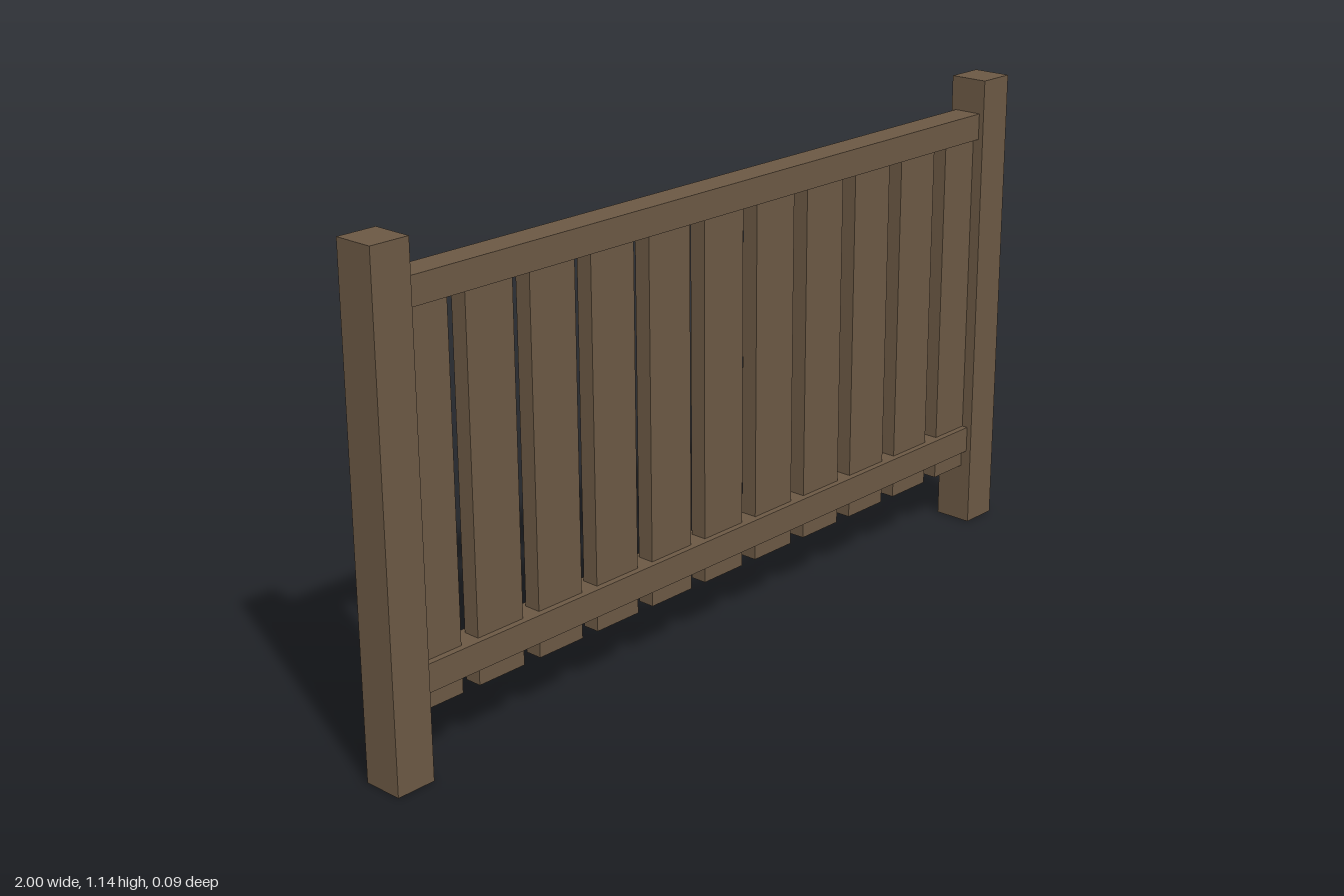
import * as THREE from 'three';

export function createModel() {
  const group = new THREE.Group();
  const wood = new THREE.MeshStandardMaterial({ color: 0x6b5844, flatShading: true });

  // Box placed by its centre x and its bottom and top heights
  function board(name, x, bottom, top, width, depth) {
    const mesh = new THREE.Mesh(new THREE.BoxGeometry(width, top - bottom, depth), wood);
    mesh.name = name;
    mesh.position.set(x, (bottom + top) / 2, 0);
    group.add(mesh);
  }

  // End posts
  const postWidth = 0.095;
  const postX = 1 - postWidth / 2;
  board('leftPost', postX, 0, 1.144, postWidth, postWidth);
  board('rightPost', -postX, 0, 1.144, postWidth, postWidth);

  // Rails between the posts
  const railLength = 2 * (1 - postWidth);
  board('topRail', 0, 0.999, 1.062, railLength, 0.07);
  board('bottomRail', 0, 0.19, 0.254, railLength, 0.07);

  // Eleven evenly spaced slats, the outer two tucked into the posts
  const slatCount = 11;
  const pitch = 0.1715;
  for (let i = 0; i < slatCount; i++) {
    const x = (i - (slatCount - 1) / 2) * pitch;
    board(`slat${i + 1}`, x, 0.147, 1.03, 0.126, 0.04);
  }

  return group;
}
